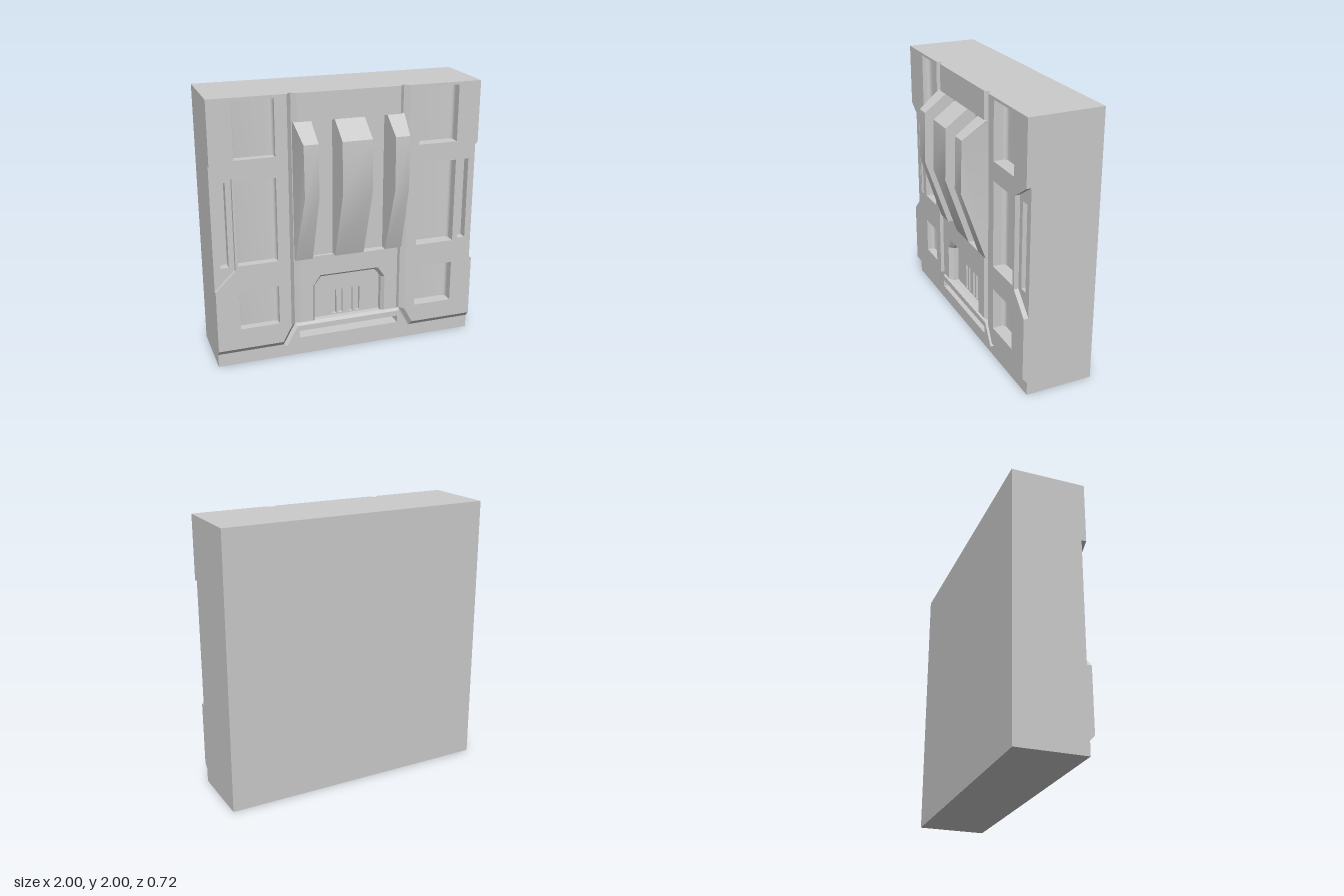
import * as THREE from 'three';
import { toCreasedNormals } from 'three/addons/utils/BufferGeometryUtils.js';

const BACK = -0.36, FLOOR = 0.08, MID = 0.145, FRONT = 0.18;

const toShape = (pts) => new THREE.Shape(pts.map(([x, y]) => new THREE.Vector2(x, y)));
const rect = (x0, x1, y0, y1) => [[x0, y0], [x1, y0], [x1, y1], [x0, y1]];
const flip = (pts) => pts.map(([x, y]) => [-x, y]);
// Full outline from its left half (listed from the centre line outwards and round)
const symmetric = (half) => [...half, ...flip(half).reverse()];

// Plate between two depths; the front outline may differ from the rear one, giving chamfered edges
function slab(rear, z0, z1, holes = [], front = rear) {
  const shape = toShape(rear);
  holes.forEach((h) => shape.holes.push(toShape(h)));
  const geo = new THREE.ExtrudeGeometry(shape, { depth: z1 - z0, bevelEnabled: false });
  geo.translate(0, 0, z0);
  const p = geo.attributes.position;
  for (let i = 0; i < p.count; i++) {
    if (p.getZ(i) < z1 - 1e-4) continue;
    const k = rear.findIndex(([x, y]) => Math.hypot(x - p.getX(i), y - p.getY(i)) < 1e-4);
    if (k >= 0) p.setXY(i, front[k][0], front[k][1]);
  }
  geo.computeVertexNormals();
  return geo;
}

// Pocket bed: flat floor with concave fillets along both upright sides
function pocketBed([[x0, y0], [x1], [, y1]]) {
  const r = 0.03, z = FLOOR + 0.005, s = new THREE.Shape();
  s.moveTo(x0, z - 0.02);
  s.lineTo(x1, z - 0.02);
  s.lineTo(x1, z + r);
  s.absarc(x1 - r, z + r, r, 0, -Math.PI / 2, true);
  s.lineTo(x0 + r, z);
  s.absarc(x0 + r, z + r, r, -Math.PI / 2, -Math.PI, true);
  s.closePath();
  const geo = new THREE.ExtrudeGeometry(s, { depth: y1 - y0, bevelEnabled: false, curveSegments: 6 });
  geo.rotateX(Math.PI / 2).translate(0, y1, 0);
  return toCreasedNormals(geo, 0.6);
}

// Fin: side profile swept across x; an outer fin leans inwards on its outer side
function fin(x0, x1, leanSide = 0) {
  const profile = [[MID, 1.8], [FRONT, 1.8], [0.345, 1.68], [0.355, 1.3], [FRONT, 0.78], [MID, 0.78]];
  const geo = new THREE.ExtrudeGeometry(toShape(profile.map(([z, y]) => [-z, y])), { depth: x1 - x0, bevelEnabled: false });
  geo.rotateY(Math.PI / 2).translate(x0, 0, 0);
  const p = geo.attributes.position;
  const outer = leanSide > 0 ? x1 : x0;
  for (let i = 0; leanSide && i < p.count; i++) {
    if (Math.abs(p.getX(i) - outer) < 1e-4) {
      p.setX(i, outer - leanSide * 0.15 * Math.max(0, p.getZ(i) - FRONT));
    }
  }
  return toCreasedNormals(geo, 0.5);
}

export function createModel() {
  const model = new THREE.Group();
  model.name = 'wallPanel';
  const material = new THREE.MeshStandardMaterial({ color: 0xcccccc });
  const add = (name, geo) => {
    const mesh = new THREE.Mesh(geo, material);
    mesh.name = name;
    model.add(mesh);
  };

  // Openings, right-hand ones first and then mirrored
  const pockets = [[1.56, 1.98], [0.78, 1.42], [0.28, 0.6]].map(([a, b]) => rect(0.53, 0.83, a, b));
  const sideSlot = rect(0.89, 0.95, 0.78, 1.41);
  const finSlot = rect(0.11, 0.28, 0.78, 1.8);
  const plateSlot = rect(-0.39, 0.39, 0.155, 0.21);
  const hatch = symmetric([[-0.212, 0.615], [-0.262, 0.55], [-0.262, 0.265]]);

  // Solid back block and the perforated layer in front of it
  add('backBlock', slab(rect(-1, 1, 0, 2), BACK, FLOOR));
  const paired = [...pockets, sideSlot, finSlot];
  add('recessLayer', slab(rect(-1, 1, 0, 2), FLOOR, MID, [...paired, ...paired.map(flip), plateSlot, hatch]));

  // Side panels with chamfered inner and lower edges and a notch on the outer edge
  const notch = [[1, 0.61], [0.85, 0.76], [0.85, 1.44], [1, 1.54], [1, 2]];
  const sideRear = [[0.415, 2], [0.415, 0.265], [0.505, 0.1], [1, 0.1], ...notch];
  const sideFront = [[0.45, 2], [0.45, 0.26], [0.515, 0.14], [1, 0.14], ...notch];
  add('leftPanel', slab(sideRear, MID, FRONT, pockets, sideFront));
  add('rightPanel', slab(flip(sideRear), MID, FRONT, pockets.map(flip), flip(sideFront)));
  for (const p of pockets) {
    const [x0, x1, y0, y1] = [p[0][0], p[1][0], p[0][1], p[2][1]];
    add('leftPocketBed', pocketBed(rect(x0, x1, y0, y1)));
    add('rightPocketBed', pocketBed(rect(-x1, -x0, y0, y1)));
  }

  // Centre panel, cut out round the hatch
  const centreRear = symmetric([[-0.212, 0.615], [-0.262, 0.55], [-0.262, 0.265], [-0.415, 0.265], [-0.415, 2]]);
  const centreFront = symmetric([[-0.225, 0.64], [-0.28, 0.56], [-0.28, 0.28], [-0.38, 0.28], [-0.38, 2]]);
  add('centrePanel', slab(centreRear, MID, FRONT, [finSlot, flip(finSlot)], centreFront));

  // Fins and the beds of the slots between them
  add('middleFin', fin(-0.11, 0.11));
  add('leftFin', fin(0.28, 0.41, 1));
  add('rightFin', fin(-0.41, -0.28, -1));
  add('leftFinSlotBed', slab(finSlot, FLOOR, 0.12));
  add('rightFinSlotBed', slab(flip(finSlot), FLOOR, 0.12));

  // Hatch floor with four vents
  const vents = [-0.11, -0.06, 0.02, 0.075].map((x) => rect(x, x + 0.032, 0.275, 0.47));
  add('hatchFloor', slab(hatch, FLOOR, 0.105, vents));

  // Sill plate along the bottom
  const sillRear = [[-0.505, 0.1], [0.505, 0.1], [0.415, 0.265], [-0.415, 0.265]];
  const sillFront = [[-0.49, 0.1], [0.49, 0.1], [0.4, 0.252], [-0.4, 0.252]];
  add('sillPlate', slab(sillRear, MID, FRONT, [plateSlot], sillFront));

  return model;
}
